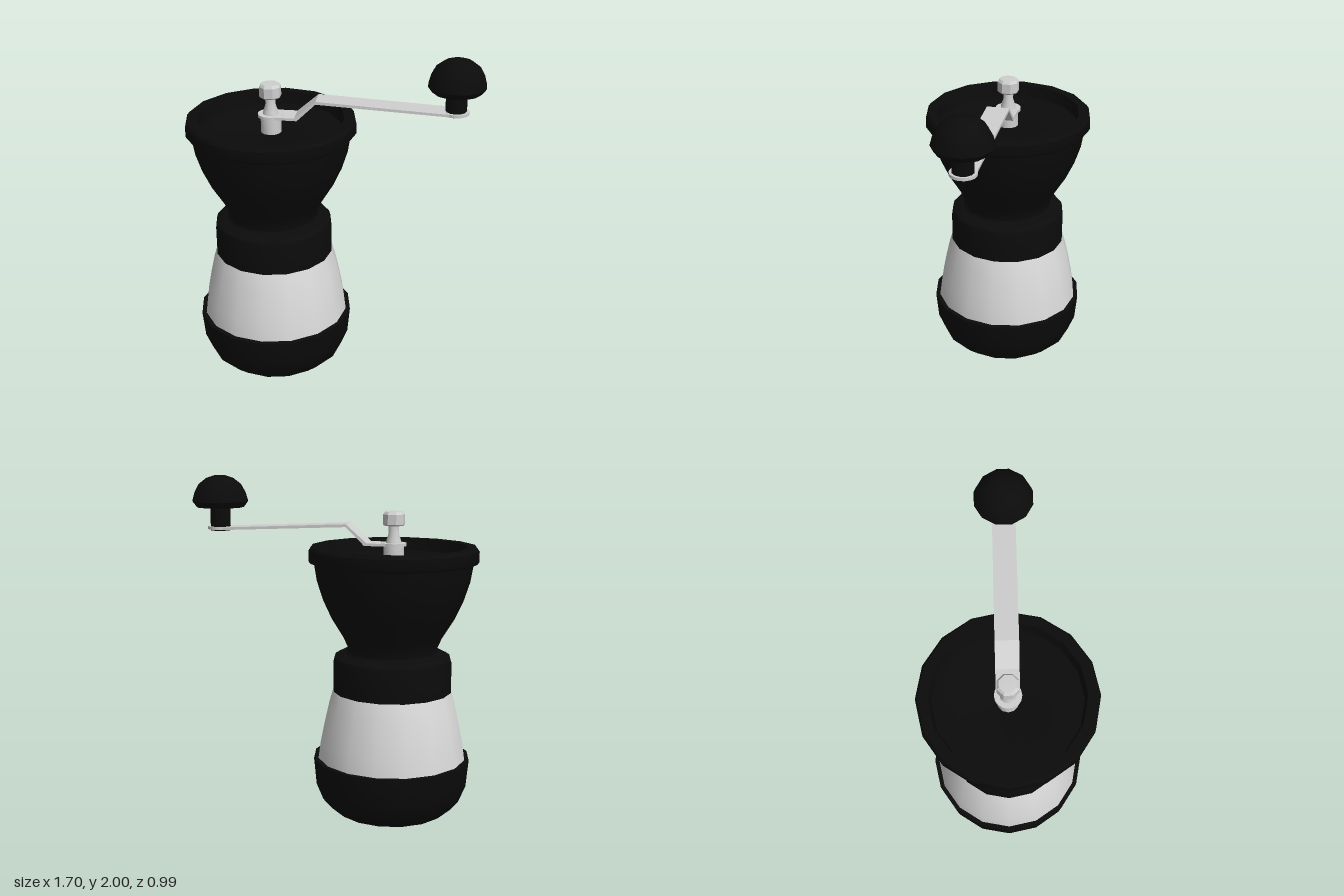
import * as THREE from 'three';
import { toCreasedNormals } from 'three/addons/utils/BufferGeometryUtils.js';

const BODY_X = -0.36; // axis of the grinder body
const KNOB_X = 0.69; // axis of the crank knob

export function createModel() {
  const model = new THREE.Group();
  model.name = 'handGrinder';

  const material = (name, color) => {
    const m = new THREE.MeshStandardMaterial({ color });
    m.name = name;
    return m;
  };
  const black = material('black plastic', 0x0b0b0b);
  const glass = material('pale jar', 0xd9d9d9);
  const metal = material('steel', 0xcfcfcf);

  const add = (name, geometry, mat) => {
    const mesh = new THREE.Mesh(geometry, mat);
    mesh.name = name;
    model.add(mesh);
    return mesh;
  };

  // Turned part from [radius, height] pairs, sharp only at strong edges
  const turned = (name, mat, x, profile, sides = 16, turn = 0, crease = 0.62) => {
    const points = profile.map(([r, y]) => new THREE.Vector2(r, y));
    const geometry = new THREE.LatheGeometry(points, sides, turn);
    const mesh = add(name, toCreasedNormals(geometry, crease), mat);
    mesh.position.x = x;
    return mesh;
  };

  // Rounded foot
  turned('base', black, BODY_X, [
    [0, 0], [0.24, 0.003], [0.33, 0.03], [0.41, 0.1], [0.45, 0.2],
    [0.465, 0.36], [0.42, 0.36],
  ]);

  // Tapered jar
  turned('jar', glass, BODY_X, [
    [0.44, 0.35], [0.425, 0.46], [0.405, 0.56], [0.38, 0.67], [0.352, 0.765],
  ]);

  // Screw collar
  turned('collar', black, BODY_X, [
    [0.3, 0.76], [0.35, 0.76], [0.35, 0.94], [0.343, 0.965], [0.32, 0.98], [0.25, 0.99],
  ]);

  // Flared hopper
  turned('hopper', black, BODY_X, [
    [0.28, 0.98], [0.265, 1.0], [0.265, 1.03], [0.29, 1.085], [0.36, 1.2],
    [0.41, 1.31], [0.445, 1.42], [0.463, 1.53],
  ]);

  // Lid with raised rim and sunken floor
  turned('lid', black, BODY_X, [
    [0.44, 1.52], [0.483, 1.52], [0.493, 1.535], [0.493, 1.595], [0.48, 1.612],
    [0.425, 1.612], [0.41, 1.54], [0.1, 1.53], [0.08, 1.52], [0, 1.52],
  ]);

  // Drive shaft, waisted stem and octagonal nut
  turned('shaft', metal, BODY_X, [[0.06, 1.51], [0.06, 1.62]], 12);
  turned('stem', metal, BODY_X, [
    [0.046, 1.625], [0.043, 1.645], [0.03, 1.685], [0.03, 1.735],
  ], 12);
  turned('nut', metal, BODY_X, [
    [0, 1.73], [0.058, 1.73], [0.064, 1.738], [0.064, 1.795], [0.052, 1.81], [0, 1.812],
  ], 8, Math.PI / 8, 0.3);

  // Cranked arm, a bent strip
  const arm = new THREE.Shape([
    [-0.36, 1.615], [-0.2, 1.615], [-0.092, 1.72], [0.69, 1.683],
    [0.69, 1.698], [-0.092, 1.737], [-0.215, 1.63], [-0.36, 1.63],
  ].map(([x, y]) => new THREE.Vector2(x, y)));
  const armGeometry = new THREE.ExtrudeGeometry(arm, { depth: 0.13, bevelEnabled: false });
  armGeometry.translate(0, 0, -0.065);
  add('crankArm', armGeometry, metal);

  // Round pads closing both ends of the arm
  for (const [name, x, y] of [['shaftPad', BODY_X, 1.6225], ['knobPad', KNOB_X, 1.693]]) {
    add(name, new THREE.CylinderGeometry(0.075, 0.075, 0.017, 16), metal).position.set(x, y, 0);
  }

  // Knob: spindle through the arm and mushroom grip
  turned('knobSpindle', black, KNOB_X, [[0, 1.678], [0.06, 1.678], [0.06, 1.83]], 12);
  turned('knobGrip', black, KNOB_X, [
    [0, 1.815], [0.14, 1.815], [0.166, 1.85], [0.152, 1.9], [0.125, 1.95],
    [0.08, 1.985], [0.035, 2.0], [0, 2.0],
  ], 12, Math.PI / 12);

  return model;
}
